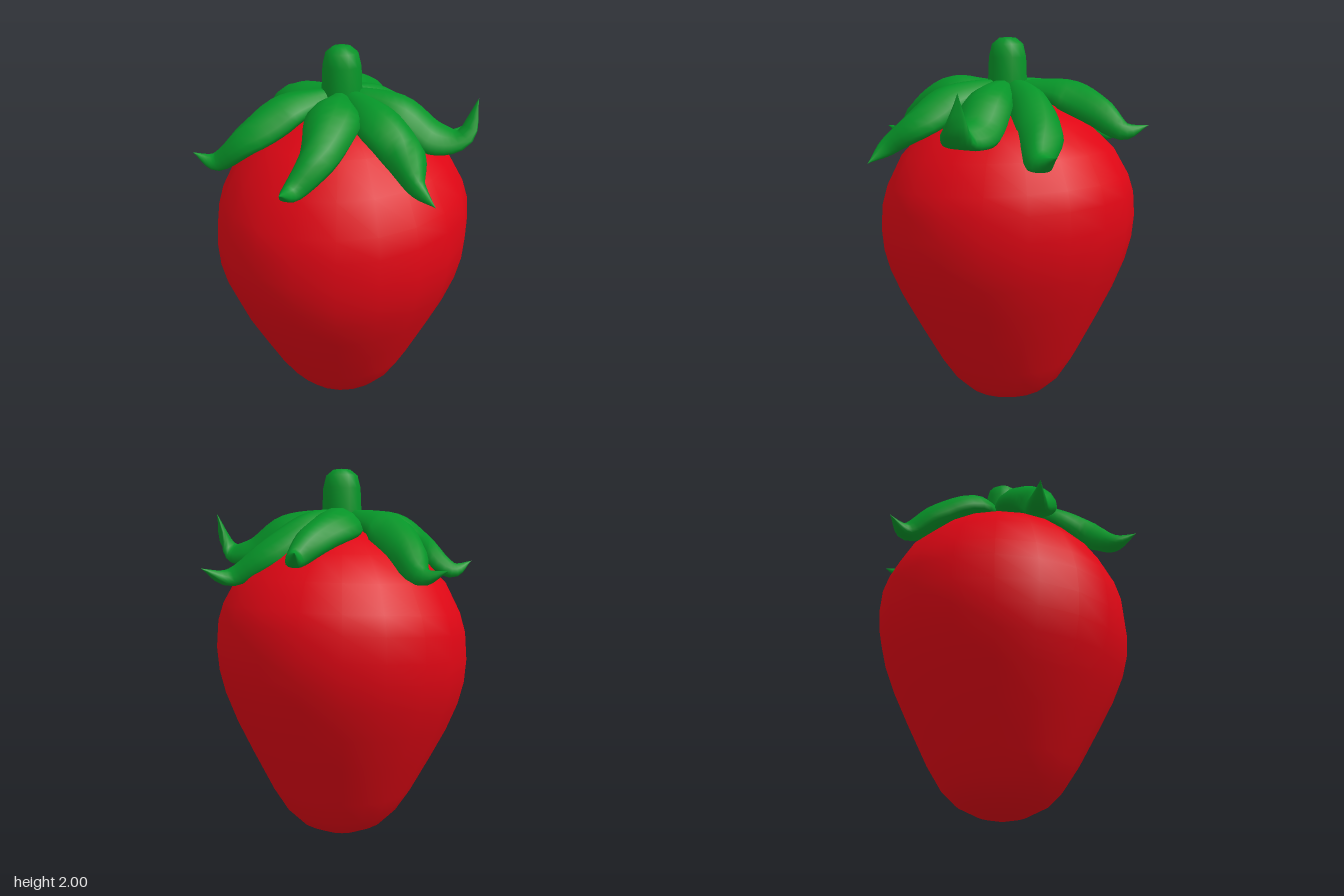
import * as THREE from 'three';
import { mergeVertices } from 'three/addons/utils/BufferGeometryUtils.js';

const red = new THREE.MeshStandardMaterial({ color: 0xdf0614 });
const green = new THREE.MeshStandardMaterial({ color: 0x069428 });
const CENTRE_X = 0.015;

// Smooth-shaded lathe without a seam; `move` may shift each vertex
function lathe(name, profile, sides, material, move) {
  let geo = new THREE.LatheGeometry(profile.map(([r, y]) => new THREE.Vector2(r, y)), sides);
  geo.deleteAttribute('uv');
  geo.deleteAttribute('normal');
  geo = mergeVertices(geo, 1e-4);
  const p = geo.attributes.position;
  if (move) for (let i = 0; i < p.count; i++) move(p, i);
  geo.computeVertexNormals();
  const mesh = new THREE.Mesh(geo, material);
  mesh.name = name;
  mesh.position.x = CENTRE_X;
  return mesh;
}

// Plump leaf: lens-shaped sections swept along a path of [x, y, z, halfWidth, halfThickness]
function leaf(path) {
  const spine = new THREE.CatmullRomCurve3(path.map(([x, y, z]) => new THREE.Vector3(x, y, z)));
  const size = new THREE.CatmullRomCurve3(path.map((q) => new THREE.Vector3(q[3], q[4], 0)), false, 'catmullrom', 0.4);
  const up = new THREE.Vector3(0, 1, 0);
  const rings = 24, sides = 14, positions = [], index = [];
  for (let i = 0; i <= rings; i++) {
    const t = i / rings;
    const centre = spine.getPoint(t), tangent = spine.getTangent(t), s = size.getPoint(t);
    const side = new THREE.Vector3().crossVectors(tangent, up).normalize();
    const normal = new THREE.Vector3().crossVectors(side, tangent).normalize();
    for (let j = 0; j < sides; j++) {
      const a = (j / sides) * Math.PI * 2, c = Math.cos(a);
      const v = centre.clone()
        .addScaledVector(side, c * Math.max(s.x, 0))
        .addScaledVector(normal, Math.sin(a) * Math.max(s.y, 0) - 0.3 * c * c * Math.max(s.x, 0));
      positions.push(v.x, v.y, v.z);
      if (i < rings) {
        const k = i * sides, n = (j + 1) % sides;
        index.push(k + j, k + sides + j, k + n, k + n, k + sides + j, k + sides + n);
      }
    }
  }
  const geo = new THREE.BufferGeometry();
  geo.setAttribute('position', new THREE.Float32BufferAttribute(positions, 3));
  geo.setIndex(index);
  geo.computeVertexNormals();
  return new THREE.Mesh(geo, green);
}

// Each leaf beyond its base: [x, z, y, halfWidth], ending at the tip
const LEAVES = [
  [[0.01, -0.29, 1.70, 0.135], [0.1, -0.46, 1.59, 0.105], [0.19, -0.6, 1.47, 0.05], [0.18, -0.73, 1.5, 0]],
  [[0.3, -0.165, 1.72, 0.135], [0.5, -0.175, 1.64, 0.095], [0.64, -0.185, 1.56, 0.045], [0.73, -0.26, 1.59, 0]],
  [[0.25, 0.07, 1.69, 0.11], [0.41, 0.17, 1.57, 0.12], [0.55, 0.31, 1.45, 0.06], [0.7, 0.36, 1.5, 0]],
  [[0.15, 0.28, 1.69, 0.13], [0.22, 0.43, 1.57, 0.13], [0.265, 0.56, 1.57, 0.08], [0.33, 0.61, 1.77, 0]],
  [[-0.09, 0.33, 1.69, 0.13], [-0.12, 0.48, 1.59, 0.115], [-0.21, 0.62, 1.47, 0.045], [-0.22, 0.73, 1.4, 0]],
  [[-0.25, 0.15, 1.73, 0.14], [-0.44, 0.215, 1.6, 0.1], [-0.61, 0.2, 1.47, 0.05], [-0.73, 0.24, 1.5, 0]],
  [[-0.25, -0.17, 1.70, 0.135], [-0.42, -0.24, 1.59, 0.105], [-0.52, -0.38, 1.46, 0.055], [-0.6, -0.46, 1.51, 0]],
];

export function createModel() {
  const model = new THREE.Group();
  model.name = 'berry';

  // Fruit body, leaning slightly around the middle
  model.add(lathe('fruit', [
    [0, 0], [0.13, 0.03], [0.24, 0.085], [0.31, 0.155], [0.39, 0.28], [0.5, 0.49], [0.58, 0.65],
    [0.64, 0.8], [0.67, 0.92], [0.68, 1.04], [0.67, 1.17], [0.64, 1.27], [0.56, 1.42], [0.42, 1.56],
    [0.22, 1.66], [0, 1.7],
  ], 20, red, (p, i) => {
    const y = p.getY(i);
    p.setY(i, y + 0.09 * p.getX(i) * Math.sin(Math.PI * THREE.MathUtils.clamp((y - 0.15) / 1.6, 0, 1)));
  }));

  // Stem with a rounded top
  model.add(lathe('stem', [
    [0.105, 1.65], [0.105, 1.76], [0.099, 1.9], [0.083, 1.965], [0.045, 1.995], [0, 2],
  ], 12, green));

  // Crown of seven leaves
  const crown = new THREE.Group();
  crown.name = 'leafCrown';
  LEAVES.forEach((plan, n) => {
    const [bx, bz] = plan[0];
    const d = Math.hypot(bx, bz);
    const base = [0.03, 0.13].map((r, i) =>
      [CENTRE_X + (bx / d) * r, 1.74, (bz / d) * r, 0.04 + 0.04 * i, 0.04 + 0.01 * i]);
    const thick = [0.07, 0.07, 0.045, 0];
    const mesh = leaf([...base, ...plan.map(([x, z, y, w], i) => [x, y, z, w, thick[i]])]);
    mesh.name = `leaf${n + 1}`;
    crown.add(mesh);
  });
  model.add(crown);
  return model;
}
